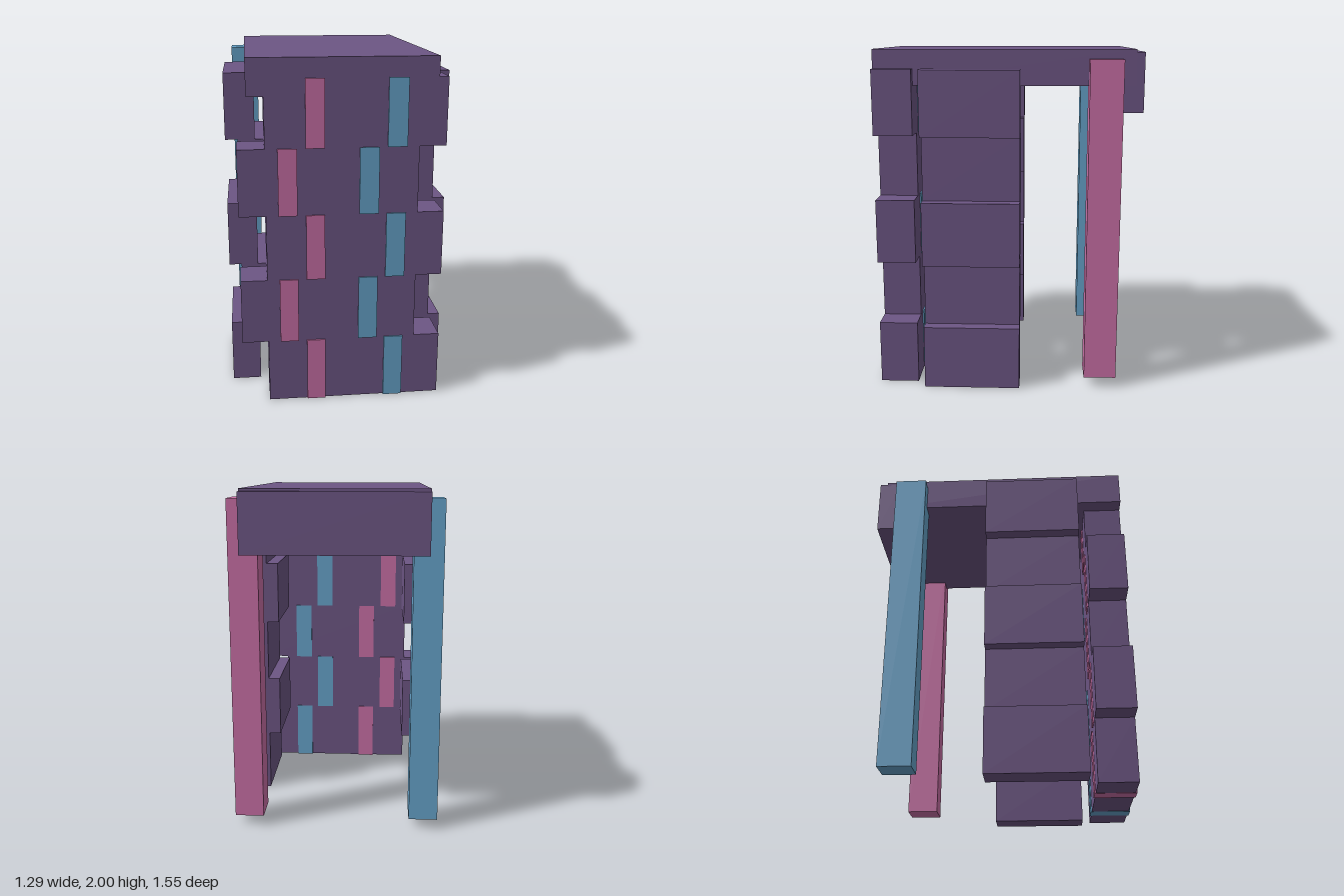
import * as THREE from 'three';

export function createModel() {
  const model = new THREE.Group();
  const make = (name, color) => {
    const m = new THREE.MeshStandardMaterial({ color });
    m.name = name;
    return m;
  };
  const purple = make('purple', 0x6d5684);
  const pink = make('pink', 0xca70a7);
  const blue = make('blue', 0x67a4cb);

  // Box given by its extents on each axis
  const box = (name, mat, [x0, x1], [y0, y1], [z0, z1]) => {
    const mesh = new THREE.Mesh(new THREE.BoxGeometry(x1 - x0, y1 - y0, z1 - z0), mat);
    mesh.position.set((x0 + x1) / 2, (y0 + y1) / 2, (z0 + z1) / 2);
    mesh.name = name;
    model.add(mesh);
  };

  // Roof slab with a hanging lip at the back
  box('roofSlab', purple, [-0.52, 0.52], [1.795, 2], [-0.73, 0.768]);
  box('backLip', purple, [-0.52, 0.52], [1.645, 1.985], [-0.777, -0.64]);

  // Back posts
  box('leftPost', pink, [0.435, 0.605], [0.06, 1.945], [-0.655, -0.465]);
  box('rightPost', blue, [-0.605, -0.435], [0.06, 1.945], [-0.655, -0.465]);

  // Staggered courses: front block, two side blocks, two inlaid bands
  const rowHeight = 0.378;
  for (let i = 0; i < 5; i++) {
    const even = i % 2 === 0;
    const y = [i * rowHeight, (i + 1) * rowHeight];
    // lowest block sits a hair higher so the band ends show underneath
    const blockY = [Math.max(y[0], 0.002), y[1]];
    box('frontBlock', purple, even ? [-0.427, 0.572] : [-0.578, 0.422], blockY, [0.54, 0.768]);

    const [inner, outer] = even ? [0.474, 0.643] : [0.402, 0.572];
    box('leftBlock', purple, [inner, outer], y, [-0.077, 0.491]);
    box('rightBlock', purple, [-outer, -inner], y, [-0.077, 0.491]);

    const shift = even ? 0 : -0.153;
    const bandZ = [0.532, 0.777];
    box('pinkBand', pink, [-0.205 + shift, -0.1 + shift], y, bandZ);
    box('blueBand', blue, [0.245 + shift, 0.354 + shift], y, bandZ);
  }
  return model;
}
